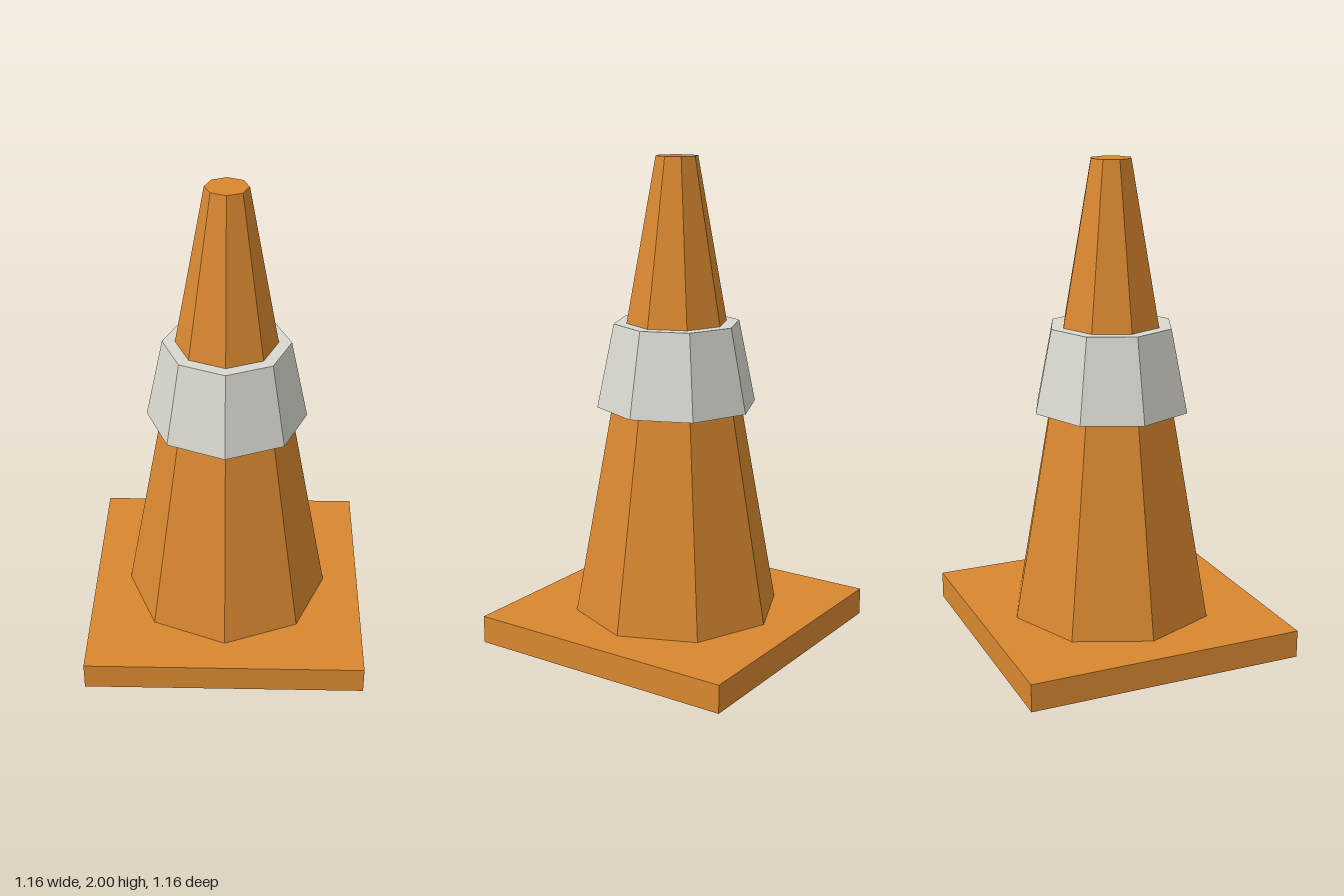
import * as THREE from 'three';

export function createModel() {
  const group = new THREE.Group();
  const orange = new THREE.MeshStandardMaterial({ color: 0xd98830 });
  const paleGrey = new THREE.MeshStandardMaterial({ color: 0xd9d8d0 });
  orange.flatShading = paleGrey.flatShading = true;

  const add = (name, geometry, material, y) => {
    const mesh = new THREE.Mesh(geometry, material);
    mesh.name = name;
    mesh.position.y = y;
    group.add(mesh);
  };

  // Square foot plate
  add('base', new THREE.BoxGeometry(1.16, 0.115, 1.16), orange, 0.0575);

  // Eight-sided tapering body, flat on top
  add('coneBody', new THREE.CylinderGeometry(0.086, 0.43, 1.885, 8), orange, 0.115 + 1.885 / 2);

  // Raised collar around the body
  add('reflectiveBand', new THREE.CylinderGeometry(0.26, 0.331, 0.343, 8), paleGrey, 1.162);

  return group;
}
